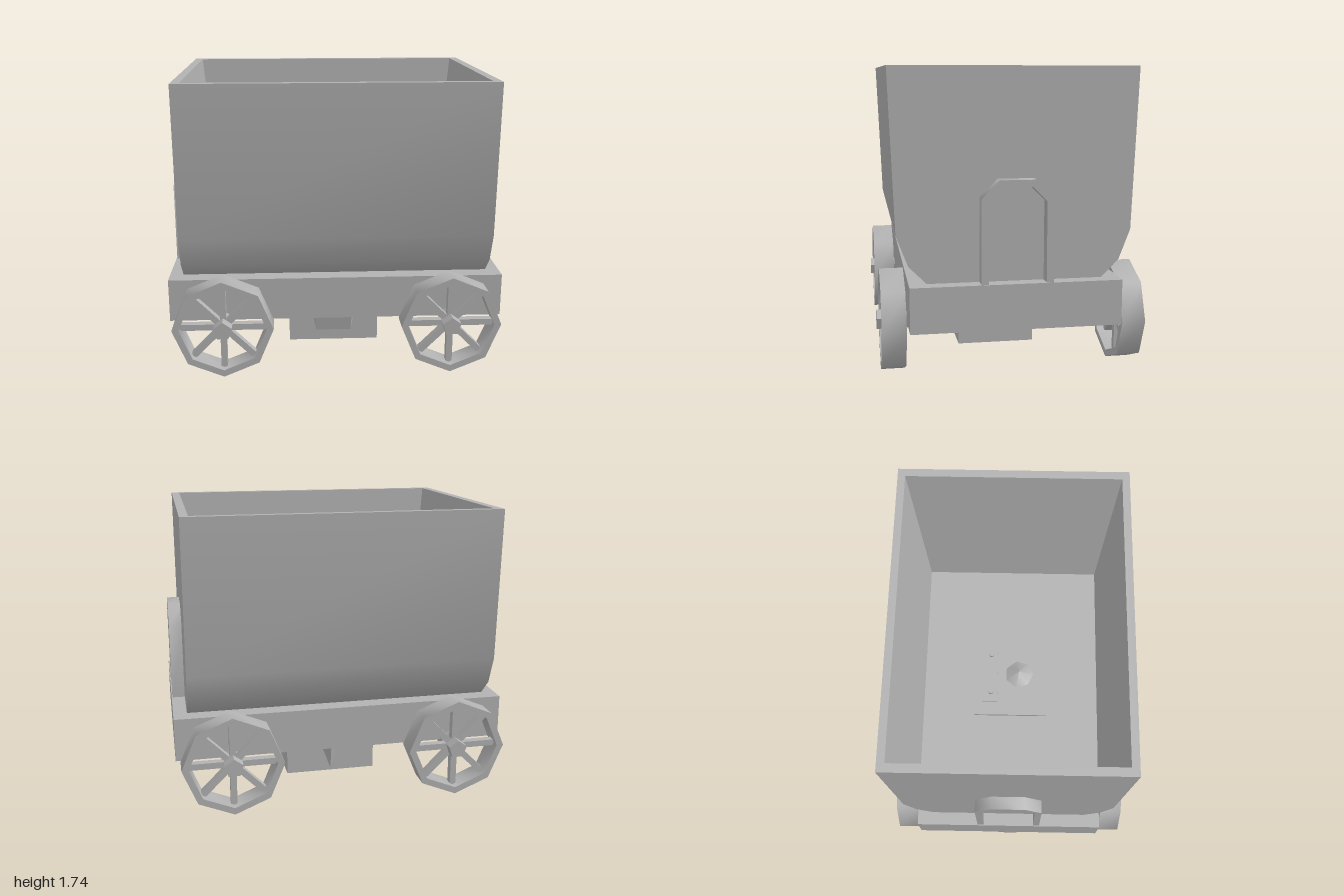
import * as THREE from 'three';
import { toCreasedNormals } from 'three/addons/utils/BufferGeometryUtils.js';

const SMOOTH = 0.85;
const metal = new THREE.MeshStandardMaterial({ color: 0xb2b2b2 });
metal.name = 'grey metal';

function add(parent, name, geometry, x = 0, y = 0, z = 0) {
  const mesh = new THREE.Mesh(geometry, metal);
  mesh.name = name;
  mesh.position.set(x, y, z);
  parent.add(mesh);
  return mesh;
}

const box = (w, h, d) => new THREE.BoxGeometry(w, h, d);
const points = (list) => list.map(([x, y]) => new THREE.Vector2(x, y));

function extrude(outline, hole, depth) {
  const shape = new THREE.Shape(points(outline));
  if (hole) shape.holes.push(new THREE.Path(points(hole)));
  const g = new THREE.ExtrudeGeometry(shape, { depth, bevelEnabled: false });
  return toCreasedNormals(g, SMOOTH);
}

const polygon = (r, n) => Array.from({ length: n }, (_, i) => {
  const a = Math.PI / 2 + (i / n) * Math.PI * 2;
  return [Math.cos(a) * r, Math.sin(a) * r];
});

// Open tub: rectangular sections [half x, y, half z] up the outside, over the rim, down the inside
function tubGeometry() {
  const sections = [
    [0.92, 0.56, 0.49], [0.92, 0.66, 0.59], [0.92, 0.83, 0.655], [0.92, 1.735, 0.69],
    [0.87, 1.735, 0.645], [0.77, 0.67, 0.578],
  ];
  const corners = [[-1, 1], [1, 1], [1, -1], [-1, -1]];
  const pos = [], idx = [];
  for (const [x, y, z] of sections) {
    for (const [sx, sz] of corners) pos.push(x * sx, y, z * sz);
  }
  for (let i = 0; i < sections.length - 1; i++) {
    for (let j = 0; j < 4; j++) {
      const a = i * 4 + j, b = i * 4 + (j + 1) % 4;
      idx.push(a, b, b + 4, a, b + 4, a + 4);
    }
  }
  const f = (sections.length - 1) * 4;
  idx.push(f, f + 1, f + 2, f, f + 2, f + 3, 0, 2, 1, 0, 3, 2);
  const g = new THREE.BufferGeometry();
  g.setAttribute('position', new THREE.Float32BufferAttribute(pos, 3));
  g.setIndex(idx);
  return toCreasedNormals(g.toNonIndexed(), SMOOTH);
}

// Eight-sided spoked wheel, centred on its axle
function makeWheel() {
  const wheel = new THREE.Group();
  wheel.name = 'wheel';
  add(wheel, 'rim', extrude(polygon(0.298, 8), polygon(0.257, 8), 0.135), 0, 0, -0.0675);
  for (let i = 0; i < 4; i++) {
    add(wheel, 'spokePair', box(0.037, 0.53, 0.045)).rotation.z = (i * Math.PI) / 4;
  }
  return wheel;
}

export function createModel() {
  const cart = new THREE.Group();
  cart.name = 'mineCart';

  add(cart, 'chassis', box(2, 0.257, 1.18), 0, 0.4325, 0);
  add(cart, 'tub', tubGeometry());

  // Axles and wheels
  for (const x of [-0.675, 0.675]) {
    add(cart, 'axle', extrude(polygon(0.057, 5), null, 1.52), x, 0.302, -0.76);
    for (const s of [-1, 1]) {
      const wheel = makeWheel();
      wheel.position.set(x, 0.302, s * 0.6725);
      cart.add(wheel);
    }
  }

  // Arched handle on each end
  const arch = [
    [-0.2, 0.56], [-0.16, 0.56], [-0.16, 1.01], [-0.08, 1.09], [0.08, 1.09], [0.16, 1.01],
    [0.16, 0.56], [0.2, 0.56], [0.2, 1.03], [0.1, 1.13], [-0.1, 1.13], [-0.2, 1.03],
  ];
  const archGeometry = extrude(arch, null, 0.085);
  for (const s of [-1, 1]) {
    add(cart, 'endHandle', archGeometry, s * 0.91, 0, 0).rotation.y = (s * Math.PI) / 2;
  }

  // Block through the floor, with its tapered seven-sided core
  add(cart, 'centreBlock', box(0.572, 0.69, 0.476), 0, 0.345, 0);
  const core = new THREE.CylinderGeometry(0.315, 0.247, 0.38, 7).toNonIndexed();
  core.computeVertexNormals();
  add(cart, 'taperedCore', core, 0, 0.21, 0.008).rotation.y = Math.PI;

  // Fittings on top of the block
  add(cart, 'plate', box(0.4, 0.03, 0.1), 0, 0.69, -0.14);
  for (const s of [-1, 1]) {
    add(cart, 'bolt', new THREE.CylinderGeometry(0.018, 0.018, 0.03, 6), s * 0.132, 0.71, -0.132);
  }
  add(cart, 'knob', new THREE.ConeGeometry(0.094, 0.06, 7), 0, 0.72, 0.055);

  // Coupling loop below one end
  const loop = new THREE.TorusGeometry(0.09, 0.024, 5, 8);
  add(cart, 'couplingLoop', loop, -0.963, 0.265, 0).rotation.y = Math.PI / 2;

  return cart;
}
